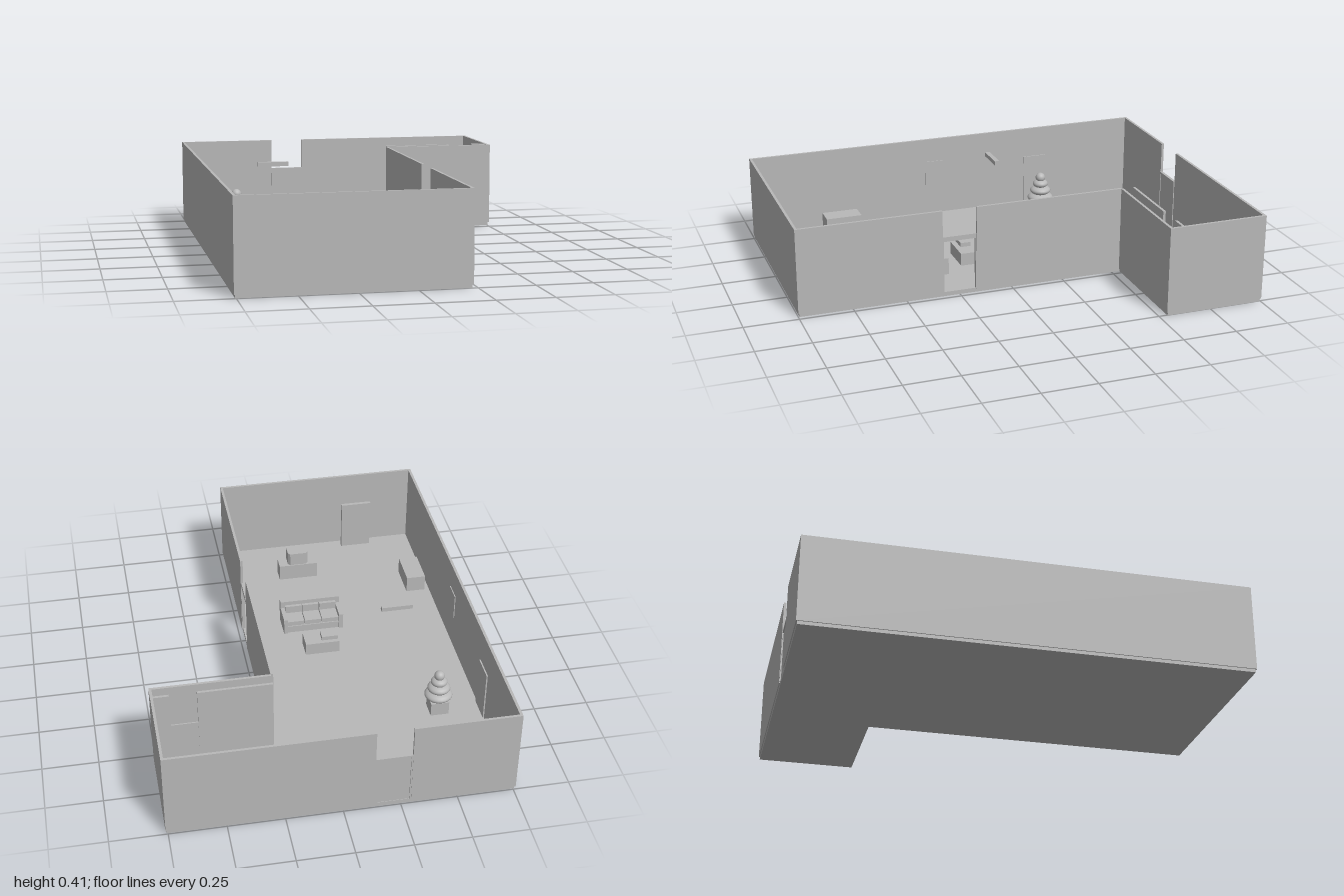
import * as THREE from 'three';

export function createModel() {
  const model = new THREE.Group();
  model.name = 'floorPlan';
  const plaster = new THREE.MeshStandardMaterial({ color: 0xb8b8b8 });
  plaster.name = 'plainGrey';

  const add = (name, geo, parent = model) => {
    const mesh = new THREE.Mesh(geo, plaster);
    mesh.name = name;
    parent.add(mesh);
    return mesh;
  };
  // Box given by its limits along each axis
  const box = (name, x0, x1, y0, y1, z0, z1, parent) => {
    const mesh = add(name, new THREE.BoxGeometry(x1 - x0, y1 - y0, z1 - z0), parent);
    mesh.position.set((x0 + x1) / 2, (y0 + y1) / 2, (z0 + z1) / 2);
    return mesh;
  };
  const group = (name) => {
    const g = new THREE.Group();
    g.name = name;
    model.add(g);
    return g;
  };

  // L-shaped floor slab
  const F = 0.02, H = 0.415, T = 0.012, L = 0.76, N = 0.232, Z = -0.535;
  const outline = [[-0.755, 0.995], [0.227, 0.995], [0.227, -0.54], [0.755, -0.54], [0.755, -0.995], [-0.755, -0.995]];
  const shape = new THREE.Shape(outline.map(([x, z]) => new THREE.Vector2(x, -z)));
  const slab = new THREE.ExtrudeGeometry(shape, { depth: F, bevelEnabled: false });
  slab.rotateX(-Math.PI / 2);
  add('floor', slab);

  // Outer walls, with full-height gaps at the two doorways
  const walls = group('walls');
  const wall = (name, x0, x1, z0, z1) => box(name, x0, x1, 0.015, H, z0, z1, walls);
  wall('leftLongWall', -L, -L + T, -1, 1);
  wall('frontWall', -L + T, N - T, 1 - T, 1);
  wall('sideWallFront', N - T, N, 0.33, 1);
  wall('sideWallRear', N - T, N, Z, 0.17);
  wall('annexFrontWall', N, L, Z - T, Z);
  wall('annexEndWall', L - T, L, -1, Z - T);
  wall('backWallWide', -0.135, L - T, -1, -1 + T);
  wall('backWallNarrow', -L + T, -0.295, -1, -1 + T);

  // Inner partition with its door
  wall('partitionWide', N, 0.56, -0.605, -0.593);
  wall('partitionNarrow', 0.68, L - T, -0.605, -0.593);
  box('partitionDoor', 0.56, 0.68, F, 0.25, -0.603, -0.597);

  // Open side doorway: jambs, lintel and threshold
  const frame = group('sideDoorFrame');
  box('lintel', N - 0.017, N - 0.002, 0.266, 0.288, 0.17, 0.33, frame);
  for (const z of [0.17, 0.325]) box('jamb', N - 0.017, N - 0.002, F, 0.266, z, z + 0.005, frame);

  // Back doorway, closed by a panel
  const backDoor = group('backDoor');
  box('doorPanel', -0.288, -0.142, F, 0.26, -0.993, -0.987, backDoor);
  box('lintel', -0.295, -0.135, 0.258, 0.268, -0.998, -0.984, backDoor);
  for (const x of [-0.295, -0.142]) box('jamb', x, x + 0.007, F, 0.258, -0.998, -0.984, backDoor);

  // Panels by the left and front walls
  box('leftDoor', -0.749, -0.742, F, 0.265, -0.54, -0.42);
  box('wallScreen', -0.749, -0.744, 0.175, 0.298, 0.02, 0.11);
  box('frontPanel', -0.54, -0.39, F, 0.27, 0.938, 0.955);

  // High slim unit
  box('hangingBar', -0.495, -0.35, 0.385, 0.405, -0.145, -0.122);

  // Potted tree with stacked rounded tiers
  const tree = group('pottedTree');
  tree.position.set(-0.555, F, -0.44);
  box('pot', -0.042, 0.042, 0, 0.065, -0.042, 0.042, tree);
  const trunk = add('trunk', new THREE.CylinderGeometry(0.012, 0.012, 0.16, 12), tree);
  trunk.position.y = 0.11;
  [[0.064, 0.09, 0.026], [0.052, 0.128, 0.024], [0.038, 0.163, 0.022], [0.024, 0.195, 0.024]].forEach(([r, y, h]) => {
    const tier = add('foliageTier', new THREE.SphereGeometry(r, 24, 12), tree);
    tier.scale.y = h / r;
    tier.position.y = y;
  });

  // Three-seat sofa
  const sofa = group('sofa');
  box('base', -0.24, 0.022, F, 0.055, 0.25, 0.35, sofa);
  box('back', -0.255, 0.037, F, 0.135, 0.345, 0.37, sofa);
  box('armRight', -0.255, -0.235, F, 0.1, 0.242, 0.345, sofa);
  box('armLeft', 0.018, 0.037, F, 0.1, 0.242, 0.345, sofa);
  for (let i = 0; i < 3; i++) {
    const x = -0.234 + i * 0.0845;
    box('seatCushion', x, x + 0.081, 0.055, 0.078, 0.255, 0.345, sofa);
    box('backCushion', x, x + 0.081, 0.078, 0.115, 0.33, 0.345, sofa);
  }

  // Coffee table with a tray
  box('coffeeTable', -0.2, -0.037, F, 0.08, 0.062, 0.157);
  box('tray', -0.197, -0.118, 0.08, 0.1, 0.082, 0.132);

  // Low cabinet along the left wall
  box('cabinet', -0.725, -0.632, F, 0.1, 0.48, 0.657);

  // Media stand with a chamfered set on top
  box('stand', -0.212, -0.02, F, 0.1, 0.695, 0.768);
  const setShape = new THREE.Shape([[-0.05, -0.032], [0.05, -0.032], [0.05, 0.022], [0.04, 0.033], [-0.04, 0.033], [-0.05, 0.022]]
    .map(([x, y]) => new THREE.Vector2(x, y)));
  const setGeo = new THREE.ExtrudeGeometry(setShape, { depth: 0.065, bevelEnabled: false });
  setGeo.rotateX(-Math.PI / 2);
  add('displaySet', setGeo).position.set(-0.115, 0.1, 0.733);

  return model;
}
